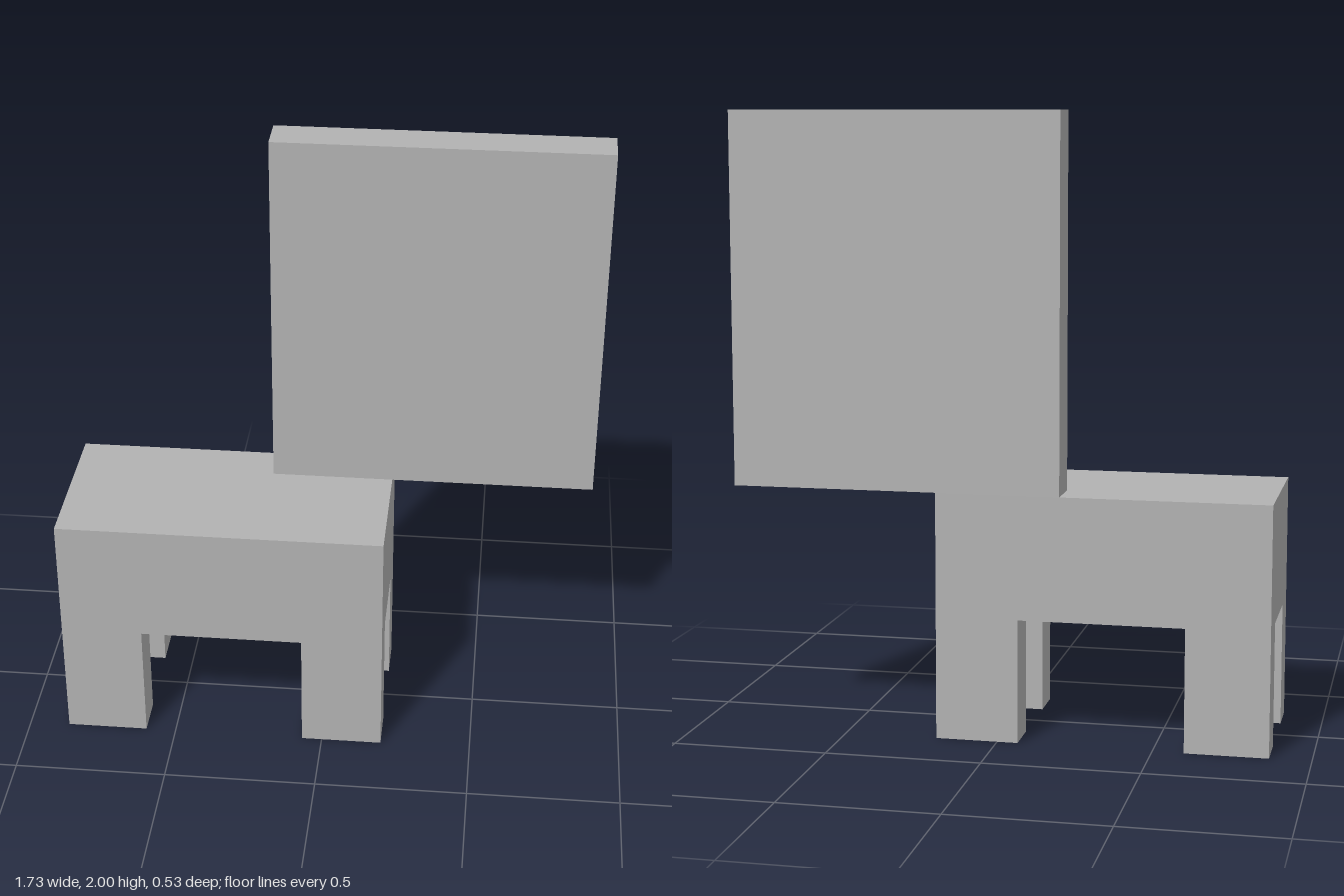
import * as THREE from 'three';

export function createModel() {
  const group = new THREE.Group();
  const grey = new THREE.MeshStandardMaterial({ color: 0xb2b2b2 });
  grey.name = 'plain grey';

  // Adds a box spanning two opposite corners
  const addBox = (name, [x0, y0, z0], [x1, y1, z1]) => {
    const mesh = new THREE.Mesh(new THREE.BoxGeometry(x1 - x0, y1 - y0, z1 - z0), grey);
    mesh.position.set((x0 + x1) / 2, (y0 + y1) / 2, (z0 + z1) / 2);
    mesh.name = name;
    group.add(mesh);
  };

  const left = 0.2, right = -0.867, depth = 0.267;
  const legWidth = 0.267, legDepth = 0.133;

  // Thick seat block
  addBox('seat', [right, 0.4, -depth], [left, 0.8, depth]);

  // Backrest, shifted sideways so it overhangs the seat
  addBox('backrest', [-0.2, 0.8, -depth], [0.867, 2, -depth + legDepth]);

  // Four corner legs
  for (const [side, x] of [['Right', right], ['Left', left - legWidth]]) {
    for (const [end, z] of [['front', depth - legDepth], ['back', -depth]]) {
      addBox(`${end}${side}Leg`, [x, 0, z], [x + legWidth, 0.4, z + legDepth]);
    }
  }

  return group;
}
